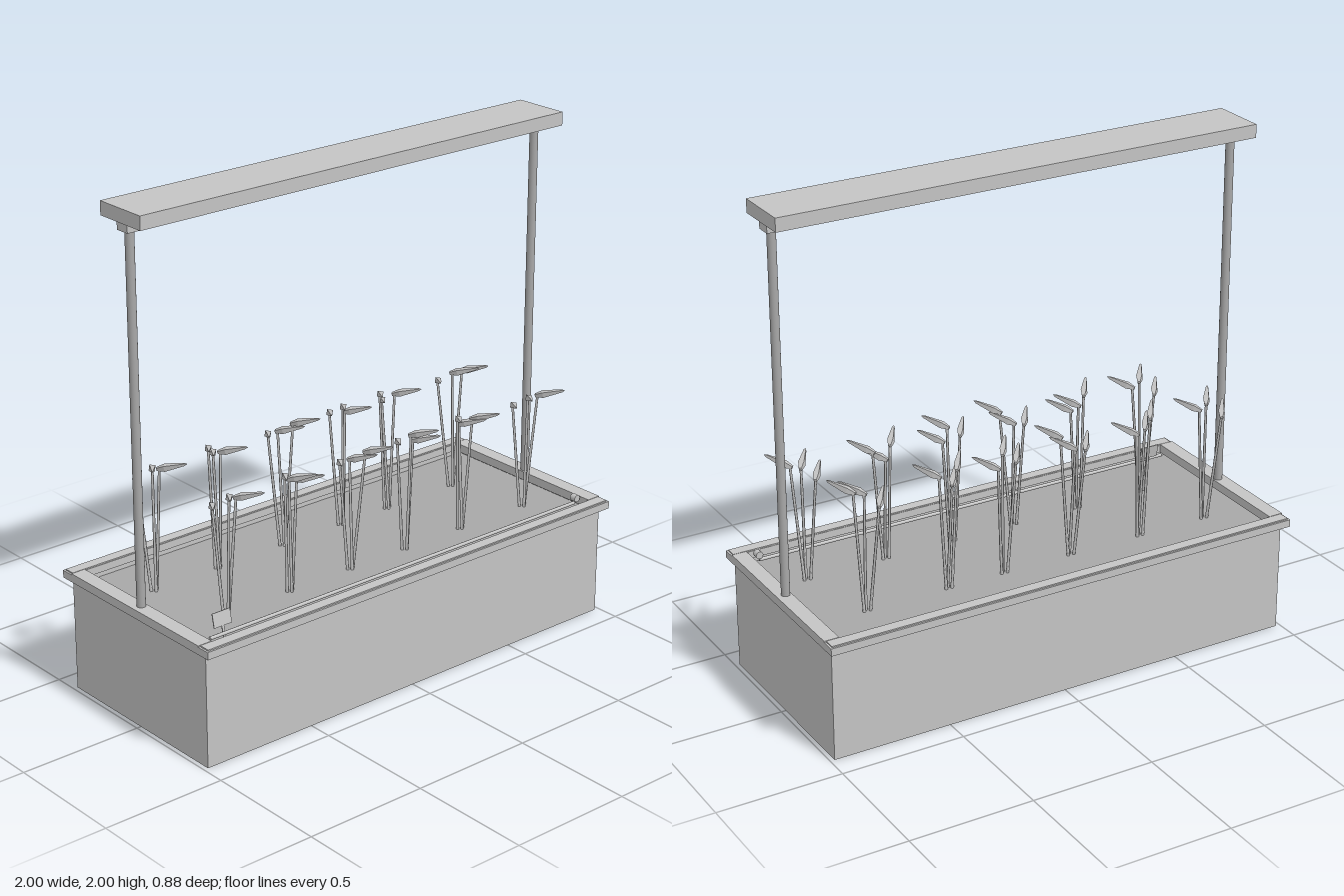
import * as THREE from 'three';

const shell = new THREE.MeshStandardMaterial({ color: 0xc4c4c4 });
shell.name = 'light grey';
const dark = new THREE.MeshStandardMaterial({ color: 0xa8a8a8, side: THREE.DoubleSide });
dark.name = 'mid grey';

export function createModel() {
  const model = new THREE.Group();
  model.name = 'planter';

  const add = (name, geometry, material, x, y, z, parent = model) => {
    const mesh = new THREE.Mesh(geometry, material);
    mesh.name = name;
    mesh.position.set(x, y, z);
    parent.add(mesh);
    return mesh;
  };
  const box = (name, w, h, d, x, y, z) =>
    add(name, new THREE.BoxGeometry(w, h, d), shell, x, y, z);

  // Trough: four thin walls, open underneath, with the soil sheet near the top
  for (const s of [-1, 1]) {
    box('longWall', 1.964, 0.46, 0.006, 0, 0.23, s * 0.4);
    box('endWall', 0.006, 0.46, 0.8, s * 0.979, 0.23, 0);
    // Rim: side rails with a narrow raised lip, end rails between them
    box('sideRail', 2, 0.03, 0.055, 0, 0.468, s * 0.4125);
    box('sideLip', 1.985, 0.005, 0.045, 0, 0.4855, s * 0.41);
    box('endRail', 0.06, 0.035, 0.77, s * 0.97, 0.4705, 0);
  }
  const soil = add('soil', new THREE.PlaneGeometry(1.955, 0.795), dark, 0, 0.43, 0);
  soil.rotation.x = -Math.PI / 2;

  // Lamp bar on two posts
  for (const s of [-1, 1]) {
    add('post', new THREE.CylinderGeometry(0.017, 0.017, 1.44, 20), dark, s * 0.963, 1.2, 0);
    box('postBracket', 0.06, 0.033, 0.06, s * 0.963, 1.931, 0);
  }
  box('lampBar', 2, 0.053, 0.23, 0, 1.9735, 0);

  // Watering pipe with its end knob, and the plant label
  const pipe = add('wateringPipe', new THREE.CylinderGeometry(0.007, 0.007, 1.82, 8), shell, 0, 0.468, 0.335);
  pipe.rotation.z = Math.PI / 2;
  const knob = add('pipeKnob', new THREE.CylinderGeometry(0.015, 0.015, 0.026, 12), shell, 0.912, 0.49, 0.338);
  knob.rotation.x = Math.PI / 2;
  box('plantLabel', 0.08, 0.055, 0.004, -0.832, 0.512, 0.305).rotation.x = -0.2;
  box('labelStake', 0.01, 0.07, 0.004, -0.832, 0.46, 0.315).rotation.x = -0.2;

  const up = new THREE.Vector3(0, 1, 0);
  const stemGeometry = new THREE.CylinderGeometry(0.005, 0.006, 1, 6);
  // Four-sided spear-shaped leaf, blunt at the stem and pointed at the far end
  const leafGeometry = new THREE.LatheGeometry(
    [[0, -0.012], [0.008, -0.01], [0.016, 0.022], [0.006, 0.1], [0, 0.112]]
      .map(([r, y]) => new THREE.Vector2(r, y)), 4).toNonIndexed();
  leafGeometry.computeVertexNormals();

  // One stem from foot to top, with a leaf leaning forward and to one side
  const addStem = (plant, foot, top, side) => {
    const along = top.clone().sub(foot);
    const middle = foot.clone().lerp(top, 0.5);
    const stem = add('stem', stemGeometry, shell, middle.x, middle.y, middle.z, plant);
    stem.scale.y = along.length();
    stem.quaternion.setFromUnitVectors(up, along.normalize());
    const leaf = add('leaf', leafGeometry, shell, top.x, top.y, top.z, plant);
    leaf.quaternion.setFromUnitVectors(up, new THREE.Vector3(side * 0.062, 0.028, 0.085).normalize());
  };

  // Two rows of plants: foot x, then the side its middle leaf points to
  const rows = [
    { name: 'backPlant', z: -0.17, lift: 0.905, lean: -0.02,
      plants: [[-0.78, -1], [-0.48, -1], [-0.165, 1], [0.13, -1], [0.37, -1], [0.715, 1]] },
    { name: 'frontPlant', z: 0.16, lift: 0.885, lean: 0,
      plants: [[-0.7, -1], [-0.4, 1], [-0.105, 1], [0.17, 1], [0.46, 1], [0.795, -1]] },
  ];
  for (const { name, z, lift, lean, plants } of rows) {
    plants.forEach(([x, middleSide], n) => {
      const plant = new THREE.Group();
      plant.name = name;
      model.add(plant);
      [-1, 0, 1].forEach((k) => {
        // Heights and depths wander a little from stem to stem
        const wave = Math.sin(n * 2.4 + k * 2 + 1);
        const foot = new THREE.Vector3(x + k * 0.012, 0.42, z + (k === 0 ? 0.012 : 0));
        const top = new THREE.Vector3(
          x + k * 0.036 + 0.006, lift + wave * 0.025, z + lean + k * 0.012 + wave * 0.025);
        addStem(plant, foot, top, k || middleSide);
      });
    });
  }
  return model;
}
